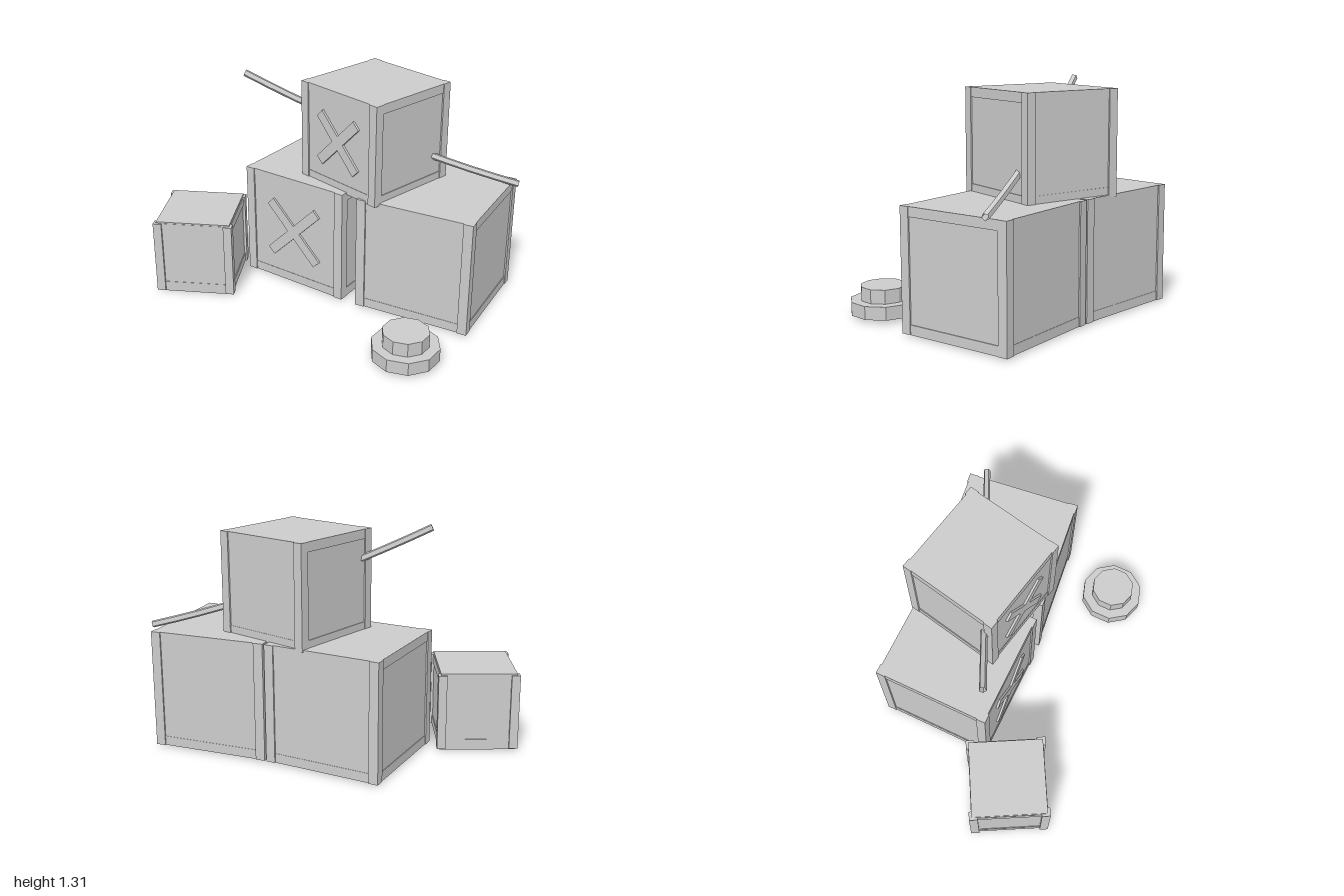
import * as THREE from 'three';

const grey = new THREE.MeshStandardMaterial({ color: 0xcccccc });
grey.name = 'plain grey';
grey.flatShading = true;
grey.side = THREE.DoubleSide;

function add(parent, name, geometry, x, y, z) {
  const mesh = new THREE.Mesh(geometry, grey);
  mesh.name = name;
  mesh.position.set(x, y, z);
  parent.add(mesh);
  return mesh;
}

// Crate with its origin at the centre; "size" is the width over the corner posts.
function makeCrate({ name, size, height, postHeight, inset, post, cross }) {
  const crate = new THREE.Group();
  crate.name = name;
  const half = size / 2;
  const body = size - inset * 2;
  add(crate, 'crateBody', new THREE.BoxGeometry(body, height, body), 0, 0, 0);

  const rail = 0.055;
  const p = half - post / 2;
  for (const a of [-1, 1]) {
    // corner posts
    for (const b of [-1, 1]) {
      add(crate, 'cornerPost', new THREE.BoxGeometry(post, postHeight, post), a * p, 0, b * p);
    }
    // top and bottom rails on all four faces
    const y = a * (postHeight - rail) / 2;
    const span = size - post * 2;
    for (const b of [-1, 1]) {
      add(crate, 'sideRail', new THREE.BoxGeometry(0.03, rail, span), b * (body / 2 - 0.010), y, 0);
      add(crate, 'faceRail', new THREE.BoxGeometry(span, rail, 0.03), 0, y, b * (body / 2 - 0.013));
    }
  }

  // crossed boards on the front
  if (cross) {
    for (const s of [-1, 1]) {
      const board = add(crate, 'crossBoard', new THREE.BoxGeometry(cross, 0.06, 0.02),
        0, 0, half - 0.006);
      board.rotation.z = s * Math.PI / 4;
    }
  }
  return crate;
}

export function createModel() {
  const model = new THREE.Group();
  model.name = 'cratePile';

  // crates: placed by centre and turn
  const crates = [
    { name: 'leftCrate', size: 0.70, height: 0.69, postHeight: 0.69, inset: 0.009, post: 0.056,
      cross: 0.475, at: [-0.15, 0.355, -0.235], turn: 0 },
    { name: 'rightCrate', size: 0.70, height: 0.69, postHeight: 0.69, inset: 0.009, post: 0.056,
      at: [0.60, 0.355, -0.28], turn: 0.12 },
    { name: 'topCrate', size: 0.60, height: 0.595, postHeight: 0.595, inset: 0.009, post: 0.054,
      cross: 0.41, at: [0.19, 0.985, -0.232], turn: -0.2 },
    { name: 'smallCrate', size: 0.47, height: 0.465, postHeight: 0.447, inset: 0.015, post: 0.05,
      at: [-0.68, 0.2325, 0.345], turn: 0.5 },
  ];
  for (const c of crates) {
    const crate = makeCrate(c);
    crate.position.set(...c.at);
    crate.rotation.y = c.turn;
    model.add(crate);
  }

  // sagging rope running through the top crate
  const rope = new THREE.QuadraticBezierCurve3(
    new THREE.Vector3(-0.49, 1.295, 0.11),
    new THREE.Vector3(0.235, 0.905, -0.235),
    new THREE.Vector3(0.96, 0.715, -0.58));
  add(model, 'rope', new THREE.TubeGeometry(rope, 12, 0.021, 5), 0, 0, 0);

  // stepped ten-sided coil on the ground
  add(model, 'coilBase', new THREE.CylinderGeometry(0.192, 0.192, 0.076, 10), 0.815, 0.058, 0.395);
  add(model, 'coilTop', new THREE.CylinderGeometry(0.132, 0.132, 0.08, 10), 0.815, 0.136, 0.395);

  return model;
}
